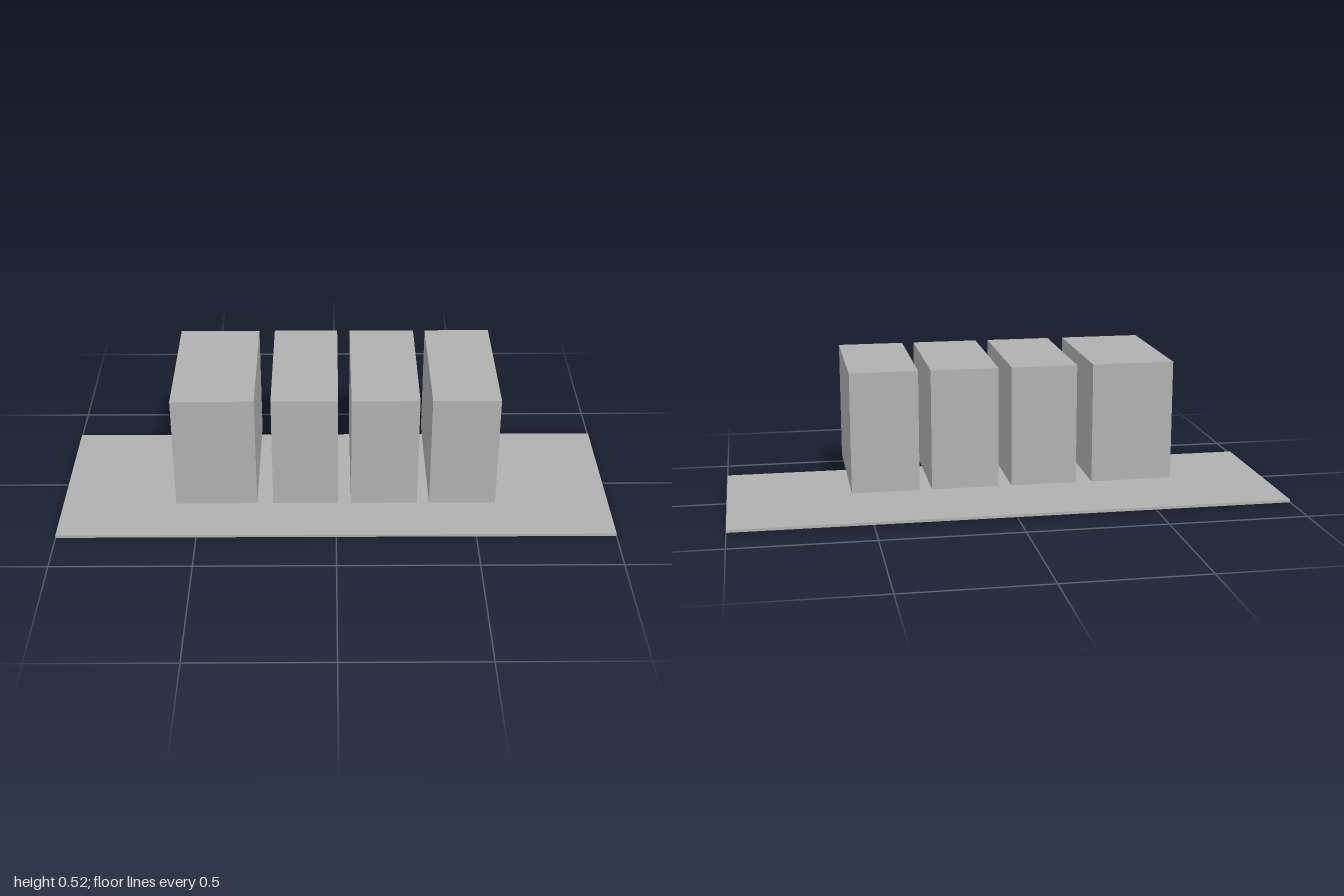
import * as THREE from 'three';

export function createModel() {
  const model = new THREE.Group();
  const grey = new THREE.MeshStandardMaterial({ color: 0xb0b0b0 });
  grey.name = 'plain grey';

  // Box given by its limits on each axis
  function addBlock(name, [x0, x1], [y0, y1], [z0, z1]) {
    const mesh = new THREE.Mesh(new THREE.BoxGeometry(x1 - x0, y1 - y0, z1 - z0), grey);
    mesh.position.set((x0 + x1) / 2, (y0 + y1) / 2, (z0 + z1) / 2);
    mesh.name = name;
    model.add(mesh);
  }

  // Thin ground slab
  addBlock('baseSlab', [-1, 1], [0, 0.01], [-0.333, 0.333]);

  // Row of four blocks floating above the slab, the first one wider
  const spans = [[-0.571, -0.282], [-0.225, 0.007], [0.053, 0.289], [0.332, 0.568]];
  spans.forEach((span, i) => addBlock(`block${i + 1}`, span, [0.093, 0.517], [-0.255, 0.255]));

  return model;
}
